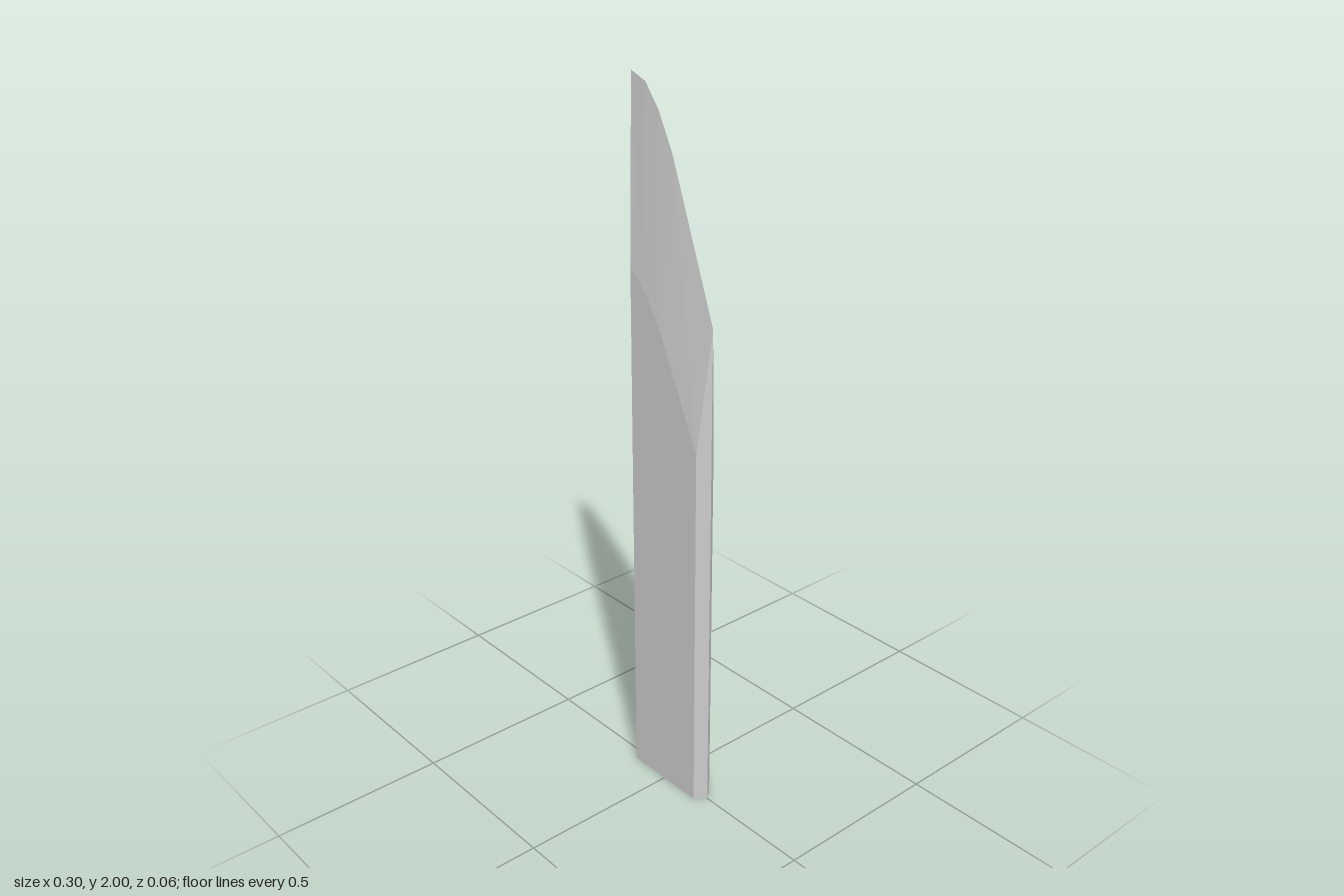
import * as THREE from 'three';

// Matching outlines: the sharp edge (z = 0) and the border of the flat side
const edge = [[-0.152, 0], [-0.152, 2], [-0.098, 1.98], [-0.05, 1.92], [0, 1.825], [0.152, 1.42], [0.152, 0]];
const flat = [[-0.127, 0], [-0.127, 1.52], [-0.085, 1.48], [-0.05, 1.435], [-0.01, 1.37], [0.127, 1.08], [0.127, 0]];
const HALF = 0.03;

// Triangles given clockwise in the xy plane; they face +z for side 1 and -z for side -1
function surface(name, triangles, side, material) {
  const positions = [];
  for (const [a, b, c] of triangles) {
    for (const p of side > 0 ? [a, c, b] : [a, b, c]) positions.push(p[0], p[1], p[2] * side);
  }
  const geometry = new THREE.BufferGeometry();
  geometry.setAttribute('position', new THREE.Float32BufferAttribute(positions, 3));
  geometry.computeVertexNormals();
  const mesh = new THREE.Mesh(geometry, material);
  mesh.name = name;
  return mesh;
}

export function createModel() {
  const group = new THREE.Group();
  group.name = 'blade';
  // The base of the hollow blade is open, so both sides show
  const material = new THREE.MeshStandardMaterial({ color: 0xcccccc, flatShading: true, side: THREE.DoubleSide });

  const outer = edge.map(([x, y]) => [x, y, 0]);
  const inner = flat.map(([x, y]) => [x, y, HALF]);

  // Bevels run round both long edges and the curved tip
  const bevel = [];
  for (let i = 0; i < outer.length - 1; i++) {
    bevel.push([outer[i], outer[i + 1], inner[i + 1]], [outer[i], inner[i + 1], inner[i]]);
  }
  // Flat side as a fan from its lower corner
  const face = [];
  for (let i = 1; i < inner.length - 1; i++) face.push([inner[0], inner[i], inner[i + 1]]);

  for (const [label, side] of [['front', 1], ['back', -1]]) {
    group.add(surface(label + 'Face', face, side, material));
    group.add(surface(label + 'Bevel', bevel, side, material));
  }
  return group;
}
